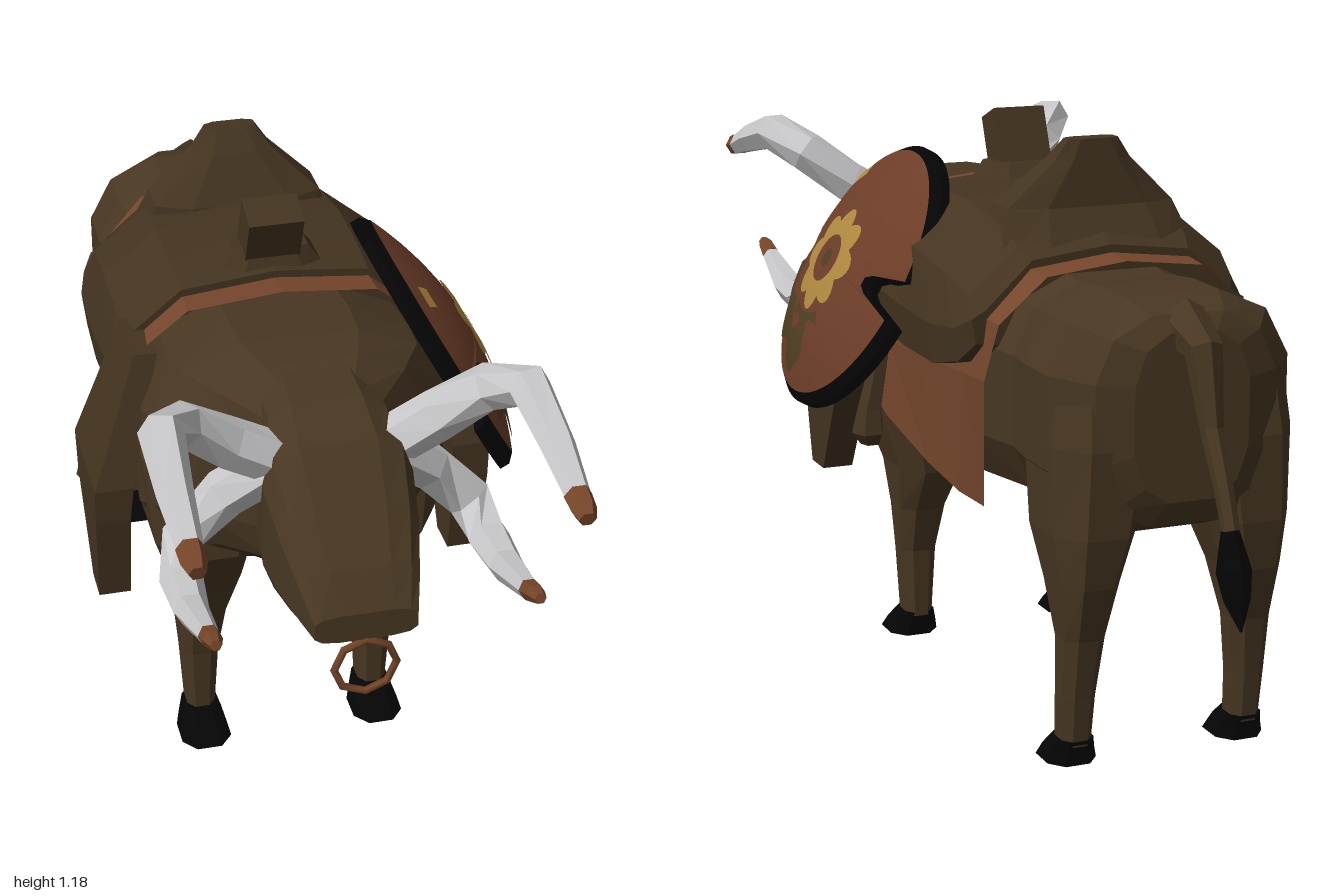
import * as THREE from 'three';

const mat = (name, color, side = THREE.FrontSide) => {
  const m = new THREE.MeshStandardMaterial({ color, side });
  m.name = name;
  return m;
};
const V = (x, y, z) => new THREE.Vector3(x, y, z);

// Flat-shaded geometry from a grid of points; loops close and may be capped
function skin(rows, { closed = true, caps = closed } = {}) {
  const pos = [], n = rows[0].length;
  const tri = (...p) => p.forEach((v) => pos.push(v.x, v.y, v.z));
  for (let i = 0; i + 1 < rows.length; i++) {
    for (let j = 0; j < (closed ? n : n - 1); j++) {
      const k = (j + 1) % n;
      tri(rows[i][j], rows[i][k], rows[i + 1][k]);
      tri(rows[i][j], rows[i + 1][k], rows[i + 1][j]);
    }
  }
  if (caps) {
    [rows[0], rows[rows.length - 1]].forEach((r, end) => {
      const c = r.reduce((s, p) => s.add(p), V(0, 0, 0)).divideScalar(n);
      for (let j = 0; j < n; j++) {
        const k = (j + 1) % n;
        if (end) tri(c, r[j], r[k]); else tri(c, r[k], r[j]);
      }
    });
  }
  const g = new THREE.BufferGeometry();
  g.setAttribute('position', new THREE.Float32BufferAttribute(pos, 3));
  g.computeVertexNormals();
  return g;
}

// Rounded-box loop coordinates
const loop = (n, power, offset = 0) => Array.from({ length: n }, (_, j) => {
  const a = ((j + offset) / n) * Math.PI * 2, c = Math.cos(a), s = Math.sin(a);
  return [Math.sign(c) * Math.abs(c) ** power, Math.sign(s) * Math.abs(s) ** power];
});

// Sections [z, top, bottom, halfWidth], back to front
const alongZ = (secs, n = 12, power = 0.7) => skin(secs.map(([z, t, b, w]) =>
  loop(n, power, 0.5).map(([c, s]) => V(c * w, (t + b) / 2 + (s * (t - b)) / 2, z))));

// Sections [y, x, z, halfX, halfZ], bottom to top
const alongY = (secs, n = 8, power = 0.8) => skin(secs.map(([y, x, z, hx, hz]) =>
  loop(n, power, 0.5).map(([c, s]) => V(x + s * hx, y, z + c * hz))));

// Symmetric arch from half profile points [x, y, z], listed from top centre to hem
const arch = (half) => [...half.slice(1).reverse(),
  ...half.map(([x, y, z]) => [-x, y, z])].map((p) => V(...p));

// Tapered tube through points [x, y, z, radius]
function taper(points, n, ref) {
  const p = points.map((q) => V(q[0], q[1], q[2]));
  return skin(p.map((c, i) => {
    const t = p[Math.min(i + 1, p.length - 1)].clone().sub(p[Math.max(i - 1, 0)]).normalize();
    const u = ref.clone().cross(t).normalize(), v = t.clone().cross(u), r = points[i][3];
    return loop(n, 1).map(([a, b]) => c.clone().addScaledVector(u, a * r).addScaledVector(v, b * r));
  }));
}

export function createModel() {
  const hide = mat('hide brown', 0x483722);
  const leather = mat('saddle brown', 0x443420);
  const cloth = mat('cloth russet', 0x75462c, THREE.DoubleSide);
  const horn = mat('horn grey', 0xc8c8ca);
  const tipMat = mat('copper tip', 0x774629);
  const black = mat('black', 0x050505);
  const face = mat('shield russet', 0x6c3d28);
  const gold = mat('gold', 0xae873e);
  const patchMat = mat('shield olive', 0x4e3e22);

  const model = new THREE.Group();
  const beast = new THREE.Group();
  beast.name = 'beast';
  beast.position.x = -0.037;
  model.add(beast);
  const add = (name, geo, m, parent = beast) => {
    const mesh = new THREE.Mesh(geo, m);
    mesh.name = name;
    parent.add(mesh);
    return mesh;
  };

  // Body and neck, then the boxier head
  add('body', alongZ([
    [-0.79, 0.87, 0.54, 0.12], [-0.765, 0.9, 0.49, 0.19], [-0.69, 0.925, 0.46, 0.255],
    [-0.58, 0.925, 0.46, 0.255], [-0.48, 0.915, 0.455, 0.235], [-0.3, 0.93, 0.445, 0.27],
    [0, 0.99, 0.415, 0.295], [0.2, 1.01, 0.42, 0.315], [0.31, 1.015, 0.5, 0.3],
    [0.4, 1.01, 0.56, 0.235], [0.5, 0.99, 0.59, 0.135],
  ]), hide);
  add('head', alongZ([
    [0.42, 1.005, 0.58, 0.13], [0.52, 0.995, 0.6, 0.135], [0.61, 0.955, 0.615, 0.147],
    [0.7, 0.87, 0.635, 0.135], [0.78, 0.785, 0.65, 0.115], [0.828, 0.72, 0.66, 0.1],
  ], 12, 0.5), hide);
  add('noseRing', new THREE.TorusGeometry(0.06, 0.008, 5, 8), tipMat).position.set(0, 0.597, 0.825);

  // Tail
  const xRef = V(1, 0, 0), yRef = V(0, 1, 0);
  add('tail', taper([[0, 0.87, -0.74, 0.055], [0, 0.84, -0.83, 0.036], [0, 0.7, -0.868, 0.022],
    [0, 0.6, -0.92, 0.018], [0, 0.53, -0.95, 0.017]], 6, xRef), hide);
  add('tailTuft', taper([[0, 0.54, -0.945, 0.015], [0, 0.46, -0.965, 0.033],
    [0, 0.41, -0.98, 0.025], [0, 0.355, -0.998, 0.002]], 6, xRef), black);

  for (const s of [1, -1]) {
    const side = s > 0 ? 'left' : 'right';
    const mirror = (rows) => rows.map(([x, ...rest]) => [s * x, ...rest]);
    const legs = (rows) => alongY(rows.map(([y, x, ...rest]) => [y, s * x, ...rest]));

    // Legs and hooves
    add(side + 'FrontLeg', legs([[0.05, 0.19, 0.18, 0.032, 0.04], [0.2, 0.19, 0.18, 0.042, 0.042],
      [0.3, 0.185, 0.175, 0.055, 0.065], [0.4, 0.175, 0.165, 0.078, 0.12],
      [0.55, 0.19, 0.2, 0.11, 0.18], [0.75, 0.2, 0.2, 0.12, 0.17]]), hide);
    add(side + 'FrontHoof', legs([[0, 0.19, 0.225, 0.057, 0.068], [0.025, 0.19, 0.21, 0.05, 0.06],
      [0.058, 0.19, 0.185, 0.038, 0.045]]), black);
    add(side + 'HindLeg', legs([[0.05, 0.18, -0.66, 0.032, 0.038], [0.15, 0.18, -0.67, 0.036, 0.04],
      [0.27, 0.175, -0.68, 0.045, 0.046], [0.38, 0.17, -0.675, 0.065, 0.085],
      [0.48, 0.16, -0.655, 0.09, 0.125], [0.65, 0.145, -0.645, 0.11, 0.14],
      [0.78, 0.14, -0.64, 0.1, 0.12]]), hide);
    add(side + 'HindHoof', legs([[0.01, 0.18, -0.628, 0.054, 0.064], [0.035, 0.18, -0.638, 0.047, 0.054],
      [0.062, 0.18, -0.658, 0.038, 0.044]]), black);

    // Two horns per side with copper tips
    add(side + 'UpperHorn', taper(mirror([[0.11, 0.905, 0.56, 0.05], [0.2, 0.955, 0.565, 0.05],
      [0.29, 1.025, 0.595, 0.046], [0.343, 1.063, 0.672, 0.043], [0.348, 1.03, 0.82, 0.034],
      [0.347, 0.997, 0.95, 0.024]]), 6, yRef), horn);
    add(side + 'UpperHornTip', taper(mirror([[0.347, 1.0, 0.94, 0.026], [0.347, 0.993, 0.975, 0.024],
      [0.346, 0.988, 1.0, 0.016]]), 6, yRef), tipMat);
    add(side + 'LowerHorn', taper(mirror([[0.11, 0.89, 0.56, 0.048], [0.2, 0.82, 0.53, 0.048],
      [0.285, 0.73, 0.53, 0.045], [0.302, 0.69, 0.61, 0.042], [0.304, 0.695, 0.71, 0.034],
      [0.3, 0.745, 0.865, 0.019]]), 6, yRef), horn);
    add(side + 'LowerHornTip', taper(mirror([[0.3, 0.742, 0.855, 0.021], [0.3, 0.758, 0.89, 0.018],
      [0.3, 0.766, 0.918, 0.011]]), 6, yRef), tipMat);

    // Hanging side flap, lowest at its front, and small pouch
    add(side + 'Flap', alongY([[0.405, s * 0.372, 0.2, 0.035, 0.04], [0.6, s * 0.374, 0.16, 0.038, 0.115],
      [0.68, s * 0.37, 0.15, 0.042, 0.13], [0.94, s * 0.285, 0.12, 0.025, 0.08]], 4, 0.2), leather);
    add(side + 'Pouch', alongY([[0.505, s * 0.365, -0.03, 0.02, 0.025], [0.53, s * 0.37, -0.03, 0.033, 0.042],
      [0.58, s * 0.365, -0.03, 0.026, 0.03], [0.74, s * 0.33, -0.03, 0.015, 0.015]], 6), leather);
  }

  // Saddle cloth: rows [zTop, zHem, top, hem, halfWidth, hemHalfWidth], back to front
  add('saddleCloth', skin([[-0.5, -0.38, 0.945, 0.45, 0.275, 0.25], [-0.41, -0.31, 0.95, 0.465, 0.285, 0.275],
    [-0.2, -0.2, 0.985, 0.5, 0.31, 0.3], [-0.02, -0.02, 1.015, 0.56, 0.318, 0.325],
    [0.17, 0.13, 1.03, 0.62, 0.322, 0.325],
  ].map(([zt, zh, t, h, w, hw]) => arch([[0, t], [0.6 * w, t - 0.02], [0.93 * w, t - 0.11],
    [w, 0.72], [hw, h]].map(([x, y]) => [x, y, zt + ((zh - zt) * (t - y)) / (t - h)]))), { closed: false }), cloth);

  // Saddle: rows [z, top, bottom, halfWidth], with pommel and raised back
  add('saddle', skin([[-0.425, 0.965, 0.79, 0.292], [-0.385, 0.985, 0.75, 0.315], [-0.3, 1.02, 0.73, 0.335],
    [-0.15, 1.045, 0.735, 0.342], [-0.02, 1.045, 0.75, 0.342], [0.1, 1.04, 0.79, 0.337],
  ].map(([z, t, b, w]) => arch([[0, t, z], [0.57 * w, t - 0.02, z], [0.9 * w, t - 0.11, z],
    [w, b + (t - b) * 0.28, z], [0.97 * w, b, z], [0.7 * w, b - 0.01, z]]))), leather);
  add('saddleBack', alongY([[0.93, 0, -0.31, 0.22, 0.12], [1.03, 0, -0.285, 0.185, 0.075],
    [1.12, 0, -0.31, 0.085, 0.042], [1.162, 0, -0.325, 0.055, 0.022]], 8, 0.6), leather);
  add('pommelBase', alongY([[1.0, 0, 0.01, 0.13, 0.09], [1.07, 0, 0.03, 0.08, 0.045]], 8, 0.6), leather);
  const pommel = add('pommel', new THREE.BoxGeometry(0.112, 0.14, 0.075), leather);
  pommel.position.set(0, 1.099, 0.052);
  pommel.rotation.x = 0.38;

  // Domed shield with two notches and a bevelled rim, leaning on the left flank
  const shield = new THREE.Group();
  shield.name = 'shield';
  shield.position.set(0.306, 0.84, 0.105);
  shield.rotation.set(0, Math.PI / 2, 0.51, 'ZYX');
  model.add(shield);
  const R = 0.297, SEG = 120;
  const edge = (a) => {
    const d = Math.min(...[3.08, -0.06].map((c) => Math.abs(Math.atan2(Math.sin(a - c), Math.cos(a - c)))));
    return d < 0.07 ? 0.19 : d < 0.13 ? 0.21 : R;
  };
  const inner = (a) => edge(a) - 0.018;
  const dome = (r, a, lift = 0) => V(r * Math.cos(a), r * Math.sin(a), 0.07 * (1 - (r / R) ** 2) + lift);
  const angles = (a0, a1, n) => Array.from({ length: n + 1 }, (_, j) => a0 + ((a1 - a0) * j) / n);
  // Curved patch between two radius rules
  const patch = (rIn, rOut, a0, a1, n, lift = 0.005, steps = 6) => {
    const rows = [];
    for (let i = steps; i >= 0; i--) {
      rows.push(angles(a0, a1, n).map((a) => dome(rIn(a) + ((rOut(a) - rIn(a)) * i) / steps, a, lift)));
    }
    return skin(rows, { closed: false });
  };
  const TAU = Math.PI * 2, at = (r) => () => r;
  add('shieldFace', patch(at(0.0001), inner, 0, TAU, SEG, 0, 8), face, shield);
  add('shieldBack', patch(at(0.0001), edge, TAU, 0, SEG, -0.03, 8), black, shield);
  add('shieldRim', skin([[edge, -0.03], [edge, -0.01], [inner, 0]].map(([rule, lift]) =>
    angles(0, TAU, SEG).map((a) => dome(rule(a), a, lift))), { closed: false }), black, shield);

  // Painted flower and patches on the shield
  const flower = (a) => 0.088 + 0.028 * Math.abs(Math.cos(4 * a));
  add('flowerRing', patch(at(0.053), flower, 0, TAU, 64), gold, shield);
  add('flowerCentre', patch(at(0.0001), at(0.022), 0, TAU, 10, 0.004, 2), patchMat, shield);
  add('goldMark', patch(at(0.225), at(0.255), 2.1, 2.3, 4), gold, shield);
  add('olivePatch', patch((a) => 0.155 + 0.02 * Math.sin(9 * a), (a) => 0.235 + 0.02 * Math.cos(11 * a),
    3.3, 4.85, 30), patchMat, shield);
  add('olivePatchSmall', patch(at(0.122), (a) => 0.145 + 0.008 * Math.cos(12 * a), 4.2, 5.2, 14), patchMat, shield);

  return model;
}
